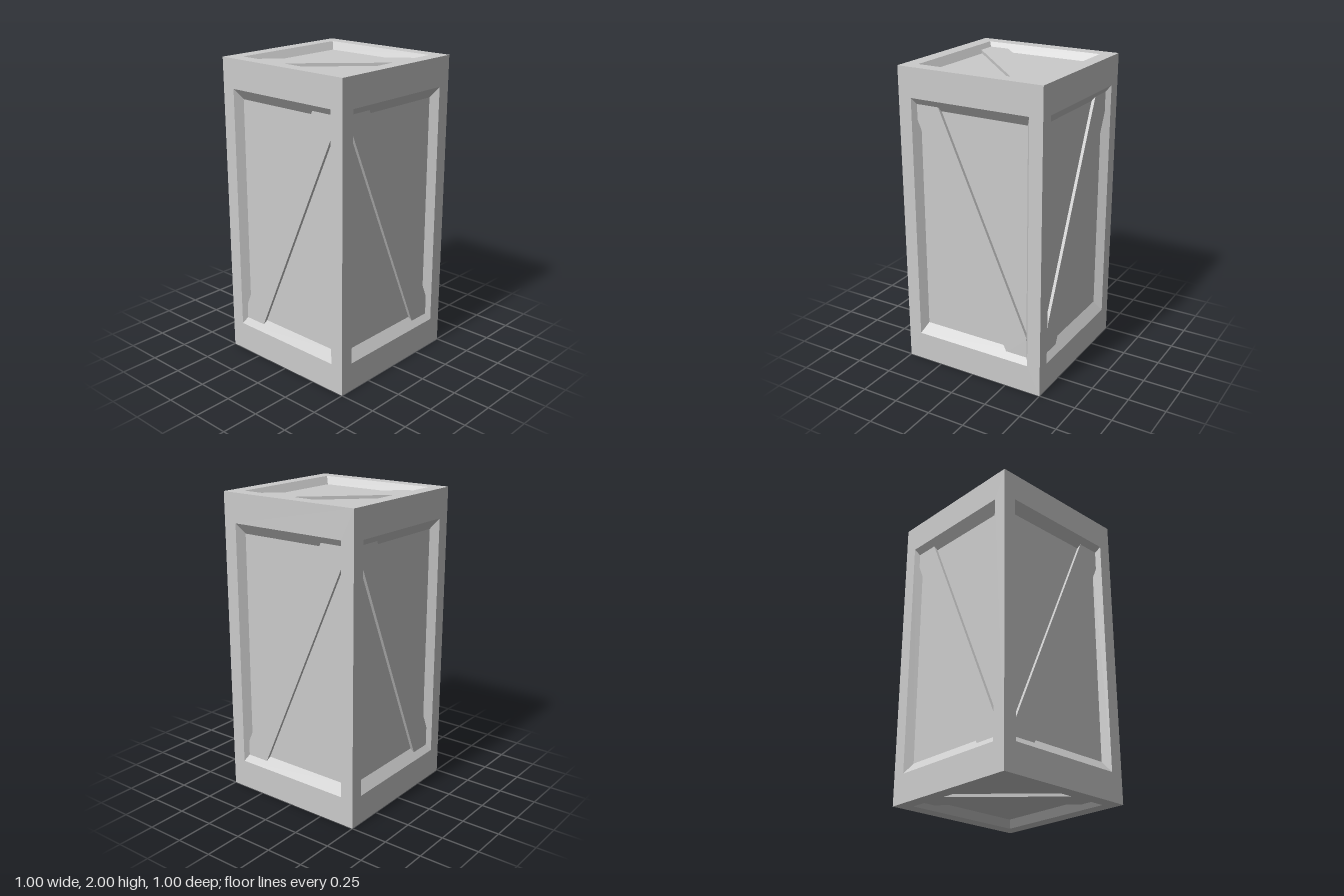
import * as THREE from 'three';

const material = new THREE.MeshStandardMaterial({ color: 0xcccccc, flatShading: true });
const DEPTH = 0.05; // recess of the panels
const BRACE = 0.03; // recess of the brace surface

// Rectangular rings, each [halfWidth, halfHeight, z], joined by quads from outside in
function ringGeometry(rings) {
  const positions = [];
  const corners = ([w, h, z]) => [[-w, -h, z], [w, -h, z], [w, h, z], [-w, h, z]];
  for (let r = 0; r < rings.length - 1; r++) {
    const a = corners(rings[r]), b = corners(rings[r + 1]);
    for (let i = 0; i < 4; i++) {
      const j = (i + 1) % 4;
      positions.push(...a[i], ...a[j], ...b[j], ...a[i], ...b[j], ...b[i]);
    }
  }
  const geometry = new THREE.BufferGeometry();
  geometry.setAttribute('position', new THREE.Float32BufferAttribute(positions, 3));
  geometry.computeVertexNormals();
  return geometry;
}

function addMesh(group, name, geometry) {
  const mesh = new THREE.Mesh(geometry, material);
  mesh.name = name;
  group.add(mesh);
  return mesh;
}

// One crate face looking along +z: flat frame, sloped lip, sunken panel, diagonal brace
function createFace(name, { half, outer, inner, brace }, flip = 1) {
  const face = new THREE.Group();
  face.name = name;
  addMesh(face, 'frame', ringGeometry([[0.5, half, 0], [0.41, outer, 0]]));
  addMesh(face, 'lip', ringGeometry([[0.41, outer, 0], [0.375, inner, -DEPTH]]));
  addMesh(face, 'panel', new THREE.PlaneGeometry(0.75, inner * 2)).position.z = -DEPTH;
  const shape = new THREE.Shape(brace.map(([x, y]) => new THREE.Vector2(x, y * flip)));
  const plank = new THREE.ExtrudeGeometry(shape, { depth: DEPTH - BRACE, bevelEnabled: false });
  addMesh(face, 'brace', plank).position.z = -DEPTH;
  return face;
}

const side = {
  half: 1, outer: 0.81, inner: 0.742,
  brace: [[-0.388, -0.67], [-0.388, -0.775], [-0.235, -0.775], [0.388, 0.637], [0.388, 0.775], [0.24, 0.775]],
};
const end = {
  half: 0.5, outer: 0.41, inner: 0.375,
  brace: [[-0.39, -0.257], [-0.39, -0.39], [-0.268, -0.39], [0.39, 0.26], [0.39, 0.39], [0.265, 0.39]],
};

export function createModel() {
  const crate = new THREE.Group();
  crate.name = 'crate';

  // Four tall sides, with braces leaning alternately
  ['frontSide', 'leftSide', 'backSide', 'rightSide'].forEach((name, i) => {
    const angle = (i * Math.PI) / 2;
    const face = createFace(name, side, i % 2 ? -1 : 1);
    face.rotation.y = angle;
    face.position.set(Math.sin(angle) * 0.5, 1, Math.cos(angle) * 0.5);
    crate.add(face);
  });

  // Square lid and base
  const lid = createFace('lid', end);
  lid.rotation.x = -Math.PI / 2;
  lid.position.y = 2;
  const base = createFace('base', end);
  base.rotation.x = Math.PI / 2;
  crate.add(lid, base);
  return crate;
}
